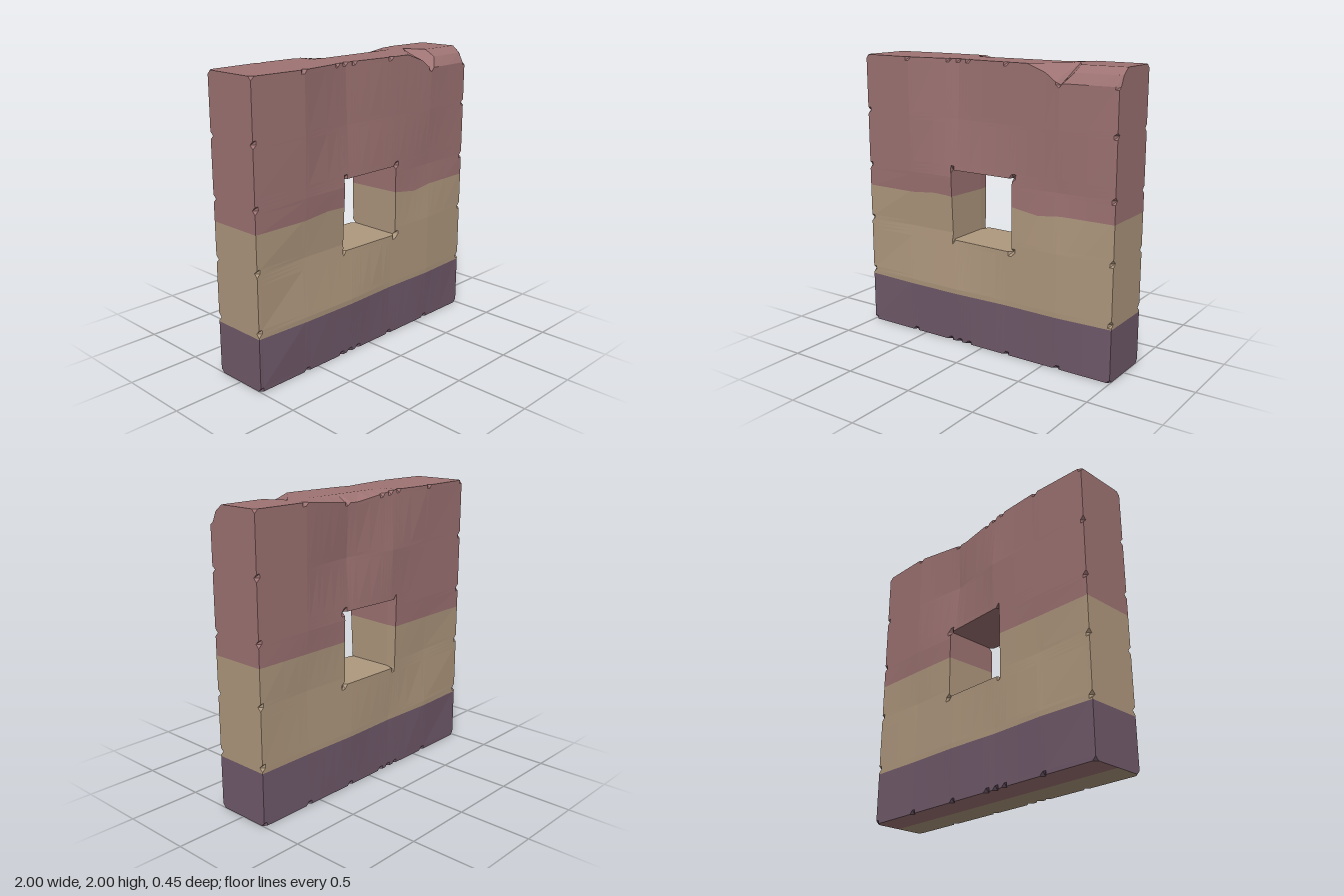
import * as THREE from 'three';

const material = (name, color) => Object.assign(
  new THREE.MeshStandardMaterial({ color, flatShading: true }), { name });

// Depth of the wavy wall faces: rows y = 0..2, columns x = -1..1, step 0.4
const FRONT = [
  [.20, .20, .20, .20, .20, .20],
  [.20, .22, .225, .21, .22, .20],
  [.20, .19, .19, .21, .22, .20],
  [.20, .215, .21, .21, .20, .20],
  [.20, .22, .18, .20, .215, .20],
  [.20, .22, .165, .20, .22, .20],
];
const BACK = [
  [-.20, -.20, -.20, -.20, -.20, -.20],
  [-.20, -.215, -.20, -.21, -.20, -.20],
  [-.20, -.195, -.21, -.20, -.19, -.20],
  [-.20, -.21, -.215, -.20, -.21, -.20],
  [-.20, -.21, -.225, -.165, -.21, -.20],
  [-.20, -.215, -.20, -.18, -.21, -.20],
];

// Bilinear lookup in a depth table
function depth(table, x, y) {
  const u = (x + 1) / 0.4, v = y / 0.4;
  const i = Math.min(4, Math.floor(u + 1e-6)), j = Math.min(4, Math.floor(v + 1e-6));
  const mix = THREE.MathUtils.lerp;
  return mix(mix(table[j][i], table[j][i + 1], u - i),
    mix(table[j + 1][i], table[j + 1][i + 1], u - i), v - j);
}

// Piecewise linear curve through [x, value] points
function curve(points, x) {
  if (x <= points[0][0]) return points[0][1];
  for (let k = 1; k < points.length; k++) {
    const [x0, a] = points[k - 1], [x1, b] = points[k];
    if (x <= x1) return a + (b - a) * (x - x0) / (x1 - x0);
  }
  return points[points.length - 1][1];
}

const near = (a, b) => Math.abs(a - b) < 1e-4;
const lines = (values) => [...new Set(values.map((v) => +v.toFixed(4)))].sort((a, b) => a - b);

const FRONT_TOP = [[.36, 2], [.5, 1.95], [.6, 1.88], [.625, 1.89], [1, 1.89]];
const BACK_TOP = [[-.25, 2], [.12, 1.95], [.2, 1.955], [.6, 2]];
const BREAK_Z = [[.36, .2], [.6, -.05], [.68, .09], [1, .09]];
const BAND = [[-.6, 1.05], [-.38, 1.07], [-.25, 1.06], [.25, 1.06], [.45, 1.03], [.62, 1.05]];

export function createModel() {
  const group = new THREE.Group();
  group.name = 'wallWithWindow';
  const parts = {
    upperWall: { mat: material('dusty rose', 0x9e7373), pos: [] },
    middleWall: { mat: material('sandy tan', 0xaf987e), pos: [] },
    baseWall: { mat: material('muted purple', 0x715a6b), pos: [] },
  };

  // Grid lines, with close pairs around each small edge chip
  const chipX = [-1, -.6, -.28, -.12, -.2, .2, .6, 1], chipY = [0, .4, .8, 1.2, 1.6, 2];
  const around = (list, lo, hi) => list.flatMap((v) => [v - .025, v, v + .025])
    .filter((v) => v >= lo - 1e-6 && v <= hi + 1e-6);
  const xs = lines([...around(chipX, -1, 1), -.4, -.3, -.25, 0, .12, .25, .28, .36, .45, .5, .68, .8]);
  const ys = lines([...around(chipY, 0, 2), .365, .72, .75, 1.05, 1.25, 1.28]);
  const nx = xs.length - 1, ny = ys.length - 1;

  const isChip = (x, y) => {
    const onSide = near(Math.abs(x), 1) && chipY.some((c) => near(c, y));
    const onRim = (near(y, 0) || near(y, 2)) && chipX.some((c) => near(c, x));
    const onHole = near(Math.abs(x), .25) && (near(y, .75) || near(y, 1.25));
    return onSide || onRim || onHole;
  };

  // Vertex of the front or back face
  function vertex(front, i, j) {
    const x = xs[i], y = ys[j];
    let z = depth(front ? FRONT : BACK, x, y), h = y;
    if (isChip(x, y)) z *= 0.88;
    if (!front && near(x, -.25) && y > .74 && y < 1.26) z = -.14; // worn window edge
    if (near(y, 1.05) && front) h = curve(BAND, x);
    if (y > 1.6) h = 1.6 + (y - 1.6) * (curve(front ? FRONT_TOP : BACK_TOP, x) - 1.6) / 0.4;
    return new THREE.Vector3(x, h, z);
  }
  const F = xs.map((_, i) => ys.map((_, j) => vertex(true, i, j)));
  const B = xs.map((_, i) => ys.map((_, j) => vertex(false, i, j)));

  const e1 = new THREE.Vector3(), e2 = new THREE.Vector3();
  function tri(part, a, b, c) {
    if (e1.subVectors(b, a).cross(e2.subVectors(c, a)).length() < 1e-8) return;
    for (const p of [a, b, c]) parts[part].pos.push(p.x, p.y, p.z);
  }
  function quad(part, a, b, c, d) {
    tri(part, a, b, c);
    tri(part, a, c, d);
  }
  const bandOf = (j) => {
    const y = (ys[j] + ys[j + 1]) / 2;
    return y < .365 ? 'baseWall' : y < 1.05 ? 'middleWall' : 'upperWall';
  };
  const inHole = (i, j) => xs[i] > -.251 && xs[i + 1] < .251 && ys[j] > .749 && ys[j + 1] < 1.251;

  // Front and back faces, leaving the window open
  for (let i = 0; i < nx; i++) for (let j = 0; j < ny; j++) {
    if (inHole(i, j)) continue;
    quad(bandOf(j), F[i][j], F[i + 1][j], F[i + 1][j + 1], F[i][j + 1]);
    quad(bandOf(j), B[i + 1][j], B[i][j], B[i][j + 1], B[i + 1][j + 1]);
  }

  // Outer ends and window jambs
  const iL = xs.findIndex((x) => near(x, -.25)), iR = xs.findIndex((x) => near(x, .25));
  const jB = ys.findIndex((y) => near(y, .75)), jT = ys.findIndex((y) => near(y, 1.25));
  const facePlusX = (i, j) => quad(bandOf(j), F[i][j], B[i][j], B[i][j + 1], F[i][j + 1]);
  const faceMinusX = (i, j) => quad(bandOf(j), B[i][j], F[i][j], F[i][j + 1], B[i][j + 1]);
  for (let j = 0; j < ny; j++) {
    facePlusX(nx, j);
    faceMinusX(0, j);
    if (j >= jB && j < jT) {
      facePlusX(iL, j);
      faceMinusX(iR, j);
    }
  }

  // Window sill and lintel
  for (let i = iL; i < iR; i++) {
    quad('middleWall', F[i][jB], F[i + 1][jB], B[i + 1][jB], B[i][jB]);
    quad('upperWall', B[i][jT], B[i + 1][jT], F[i + 1][jT], F[i][jT]);
  }

  // Top with its broken front corner: front edge, bevel, break line, ridge, back edge
  const top = xs.map((x, i) => {
    const f = F[i][ny], b = B[i][ny];
    const t = new THREE.Vector3(x, 2, x > .36 ? curve(BREAK_Z, x) : f.z);
    const m = f.clone().lerp(t, .35);
    if (x > .65) m.y += (2 - f.y) * .25;
    return [f, m, t, new THREE.Vector3(x, 2, -.08), b];
  });
  for (let i = 0; i < nx; i++) for (let k = 0; k < 4; k++) {
    quad('upperWall', top[i][k], top[i + 1][k], top[i + 1][k + 1], top[i][k + 1]);
  }
  for (let k = 0; k < 3; k++) {
    tri('upperWall', top[nx][4], top[nx][k + 1], top[nx][k]);
    tri('upperWall', top[0][4], top[0][k], top[0][k + 1]);
  }

  // Underside in two strips
  const mid = xs.map((x) => new THREE.Vector3(x, 0, 0));
  for (let i = 0; i < nx; i++) {
    quad('middleWall', mid[i], mid[i + 1], F[i + 1][0], F[i][0]);
    quad('upperWall', B[i][0], B[i + 1][0], mid[i + 1], mid[i]);
  }

  for (const [name, { mat, pos }] of Object.entries(parts)) {
    const geometry = new THREE.BufferGeometry();
    geometry.setAttribute('position', new THREE.Float32BufferAttribute(pos, 3));
    geometry.computeVertexNormals();
    const mesh = new THREE.Mesh(geometry, mat);
    mesh.name = name;
    group.add(mesh);
  }
  return group;
}
